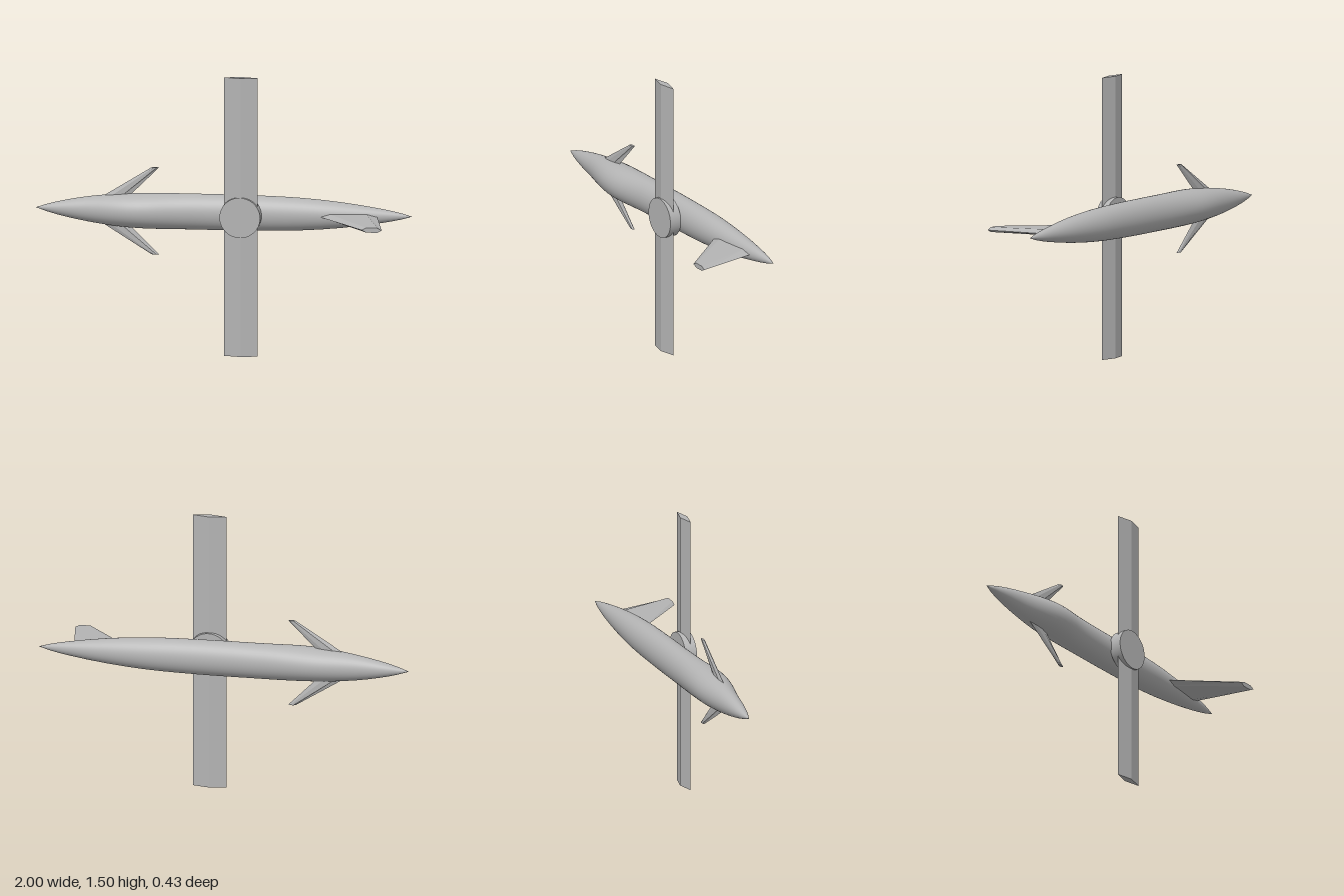
import * as THREE from 'three';

const CY = 0.75; // height of the fuselage axis

// Straight loft between two matching convex outlines, with flat caps and hard edges
function loft(a, b) {
  const n = a.length, tris = [];
  for (let i = 0; i < n; i++) {
    const j = (i + 1) % n;
    tris.push([a[i], a[j], b[j]], [a[i], b[j], b[i]]);
    if (i > 0 && i < n - 1) tris.push([a[0], a[i + 1], a[i]], [b[0], b[i], b[i + 1]]);
  }
  const v = tris.map(t => t.map(p => new THREE.Vector3(...p)));
  // turn all faces outward
  const volume = v.reduce((s, [p, q, r]) => s + p.dot(q.clone().cross(r)), 0);
  if (volume < 0) v.forEach(t => t.reverse());
  const g = new THREE.BufferGeometry().setFromPoints(v.flat());
  g.computeVertexNormals();
  return g;
}

// Six-sided fin section: sharp edges at le and te, flat sides of half thickness h
function finSection(le, te, nose, tail, h, place) {
  return [[le, 0], [le + nose, h], [te - tail, h], [te, 0], [te - tail, -h], [le + nose, -h]]
    .map(([x, t]) => place(x, t));
}

// Smooth body through elliptical stations: x, centre z, half depth, half width
function fuselageGeometry() {
  const stations = [
    [-1, -0.14, 0.0, 0.0], [-0.94, -0.139, 0.02, 0.02], [-0.84, -0.137, 0.041, 0.045],
    [-0.72, -0.134, 0.059, 0.067], [-0.6, -0.127, 0.082, 0.082], [-0.5, -0.123, 0.095, 0.09],
    [-0.4, -0.123, 0.095, 0.094], [-0.29, -0.129, 0.086, 0.095], [-0.18, -0.132, 0.08, 0.095],
    [0.05, -0.135, 0.076, 0.095], [0.25, -0.136, 0.075, 0.092], [0.41, -0.137, 0.073, 0.086],
    [0.62, -0.138, 0.06, 0.068], [0.83, -0.142, 0.034, 0.038], [0.94, -0.143, 0.014, 0.016],
    [0.995, -0.143, 0.0, 0.0]];
  const SEG = 40, pos = [], idx = [];
  const rows = [];
  stations.forEach((s, k) => {
    rows.push(s);
    const n = stations[k + 1];
    // extra rings eased between inner stations
    if (n && k > 0 && k < stations.length - 2) {
      const p = stations[k - 1], q = stations[k + 2];
      rows.push(s.map((v, i) => i === 0 ? (v + n[0]) / 2
        : (v + n[i]) / 2 + ((v - p[i]) / (s[0] - p[0]) - (q[i] - n[i]) / (q[0] - n[0])) * (n[0] - s[0]) / 16));
    }
  });
  rows.forEach(([x, zc, rz, ry]) => {
    for (let i = 0; i < SEG; i++) {
      const a = i / SEG * Math.PI * 2;
      pos.push(x, CY + ry * Math.cos(a), zc + rz * Math.sin(a));
    }
  });
  for (let r = 0; r < rows.length - 1; r++) {
    for (let i = 0; i < SEG; i++) {
      const j = (i + 1) % SEG, a = r * SEG + i, b = r * SEG + j;
      idx.push(a, b, b + SEG, a, b + SEG, a + SEG);
    }
  }
  // rings run y toward z, so this order faces inward: flip it
  for (let i = 0; i < idx.length; i += 3) [idx[i + 1], idx[i + 2]] = [idx[i + 2], idx[i + 1]];
  const g = new THREE.BufferGeometry();
  g.setAttribute('position', new THREE.Float32BufferAttribute(pos, 3));
  g.setIndex(idx);
  // make certain the winding points outward
  const e = new THREE.Vector3(), c = new THREE.Vector3(), d = new THREE.Vector3();
  const p = g.attributes.position, o = 12 * SEG * 6;
  e.fromBufferAttribute(p, idx[o]); c.fromBufferAttribute(p, idx[o + 1]); d.fromBufferAttribute(p, idx[o + 2]);
  const normal = c.sub(e).cross(d.sub(e));
  if (normal.dot(new THREE.Vector3(0, e.y - CY, e.z + 0.13)) < 0) g.setIndex(idx.reverse());
  g.computeVertexNormals();
  return g;
}

export function createModel() {
  const group = new THREE.Group();
  const grey = new THREE.MeshStandardMaterial({ color: 0xb4b4b4 });
  grey.name = 'light grey';
  const add = (name, geometry) => {
    const mesh = new THREE.Mesh(geometry, grey);
    mesh.name = name;
    group.add(mesh);
    return mesh;
  };

  add('fuselage', fuselageGeometry());

  // Long wing with a diamond section, turned across the body
  const wingSection = y => [[0.01, 0], [0.1, 0.021], [0.19, 0], [0.1, -0.021]].map(([x, t]) => [x, y, -0.028 + t]);
  add('wing', loft(wingSection(0), wingSection(1.5)));

  // Round pivot carrying the wing
  const pivot = add('wingPivot', new THREE.CylinderGeometry(0.108, 0.108, 0.065, 40));
  pivot.rotation.x = Math.PI / 2;
  pivot.position.set(0.098, CY, -0.0325);

  // Swept pair of small fins near the nose
  for (const side of [1, -1]) {
    const at = d => (x, t) => [x, CY + side * d, -0.125 + t];
    add(side > 0 ? 'upperForeplane' : 'lowerForeplane', loft(
      finSection(-0.68, -0.53, 0.045, 0.045, 0.009, at(0.05)),
      finSection(-0.385, -0.345, 0.012, 0.012, 0.007, at(0.234))));
  }

  // Swept fin near the tail
  const fin = z => (x, t) => [x, CY + t, z];
  add('tailFin', loft(
    finSection(0.465, 0.81, 0.06, 0.06, 0.016, fin(-0.13)),
    finSection(0.77, 0.877, 0.025, 0.025, 0.013, fin(0.215))));

  return group;
}
